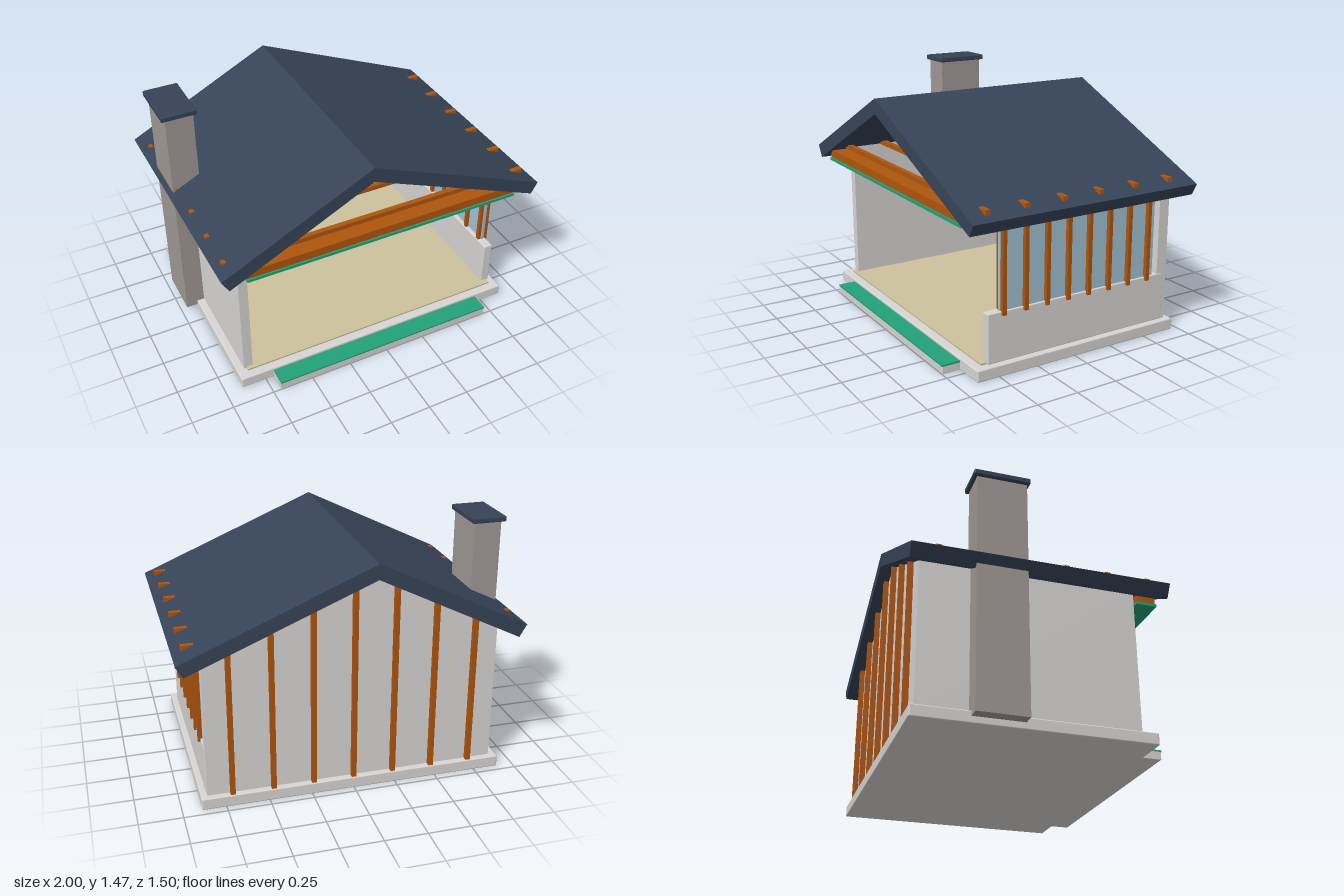
import * as THREE from 'three';
import { RoundedBoxGeometry } from 'three/addons/geometries/RoundedBoxGeometry.js';

function mat(name, color) {
  const m = new THREE.MeshStandardMaterial({ color });
  m.name = name;
  return m;
}

export function createModel() {
  const house = new THREE.Group();
  house.name = 'gableHouse';
  const plaster = mat('plaster', 0xd8d6d4);
  const slate = mat('slate', 0x364357);
  const timber = mat('timber', 0xb0560e);
  const green = mat('green', 0x22a278);
  const sand = mat('sandFloor', 0xcdc29c);
  const glass = mat('glass', 0xa0c1d3);
  const stone = mat('stone', 0xa09995);

  const add = (name, geometry, material) => {
    const mesh = new THREE.Mesh(geometry, material);
    mesh.name = name;
    house.add(mesh);
    return mesh;
  };
  // Box given by its limits on each axis, optionally with softened edges
  const box = (name, material, x0, x1, y0, y1, z0, z1, radius = 0) => {
    const size = [x1 - x0, y1 - y0, z1 - z0];
    const geometry = radius ? new RoundedBoxGeometry(...size, 2, radius) : new THREE.BoxGeometry(...size);
    add(name, geometry, material).position.set((x0 + x1) / 2, (y0 + y1) / 2, (z0 + z1) / 2);
  };
  // Outline in x and y, extruded from z0 to z1
  const prism = (name, material, points, z0, z1) => {
    const shape = new THREE.Shape(points.map(([x, y]) => new THREE.Vector2(x, y)));
    const geometry = new THREE.ExtrudeGeometry(shape, { depth: z1 - z0, bevelEnabled: false });
    geometry.translate(0, 0, z0);
    add(name, geometry, material);
  };

  // Height of the roof's underside at x
  const ridgeX = -0.11;
  const underside = (x) => 1.29 - (x < ridgeX ? (ridgeX - x) * 0.506 : (x - ridgeX) * 0.412);

  // Base slab, floor and front step
  box('foundation', plaster, -0.9, 0.89, 0, 0.07, -0.71, 0.64, 0.008);
  box('floor', sand, -0.84, 0.84, 0.07, 0.08, -0.62, 0.59);
  box('step', plaster, -0.7, 0.7, 0, 0.045, 0.63, 0.745);
  box('stepTread', green, -0.7, 0.7, 0.045, 0.055, 0.64, 0.75);

  // Walls
  prism('rightSideWall', plaster,
    [[-0.855, 0.07], [-0.8, 0.07], [-0.8, underside(-0.8) + 0.01], [-0.855, underside(-0.855) + 0.01]], -0.65, 0.565);
  prism('backGableWall', plaster,
    [[-0.853, 0.07], [0.853, 0.07], [0.853, underside(0.853) + 0.01], [ridgeX, 1.3], [-0.853, underside(-0.853) + 0.01]],
    -0.675, -0.607);
  box('lowSideWall', plaster, 0.8, 0.856, 0.07, 0.36, -0.65, 0.555, 0.005);

  // Glazing with a row of timber posts
  box('sideGlazing', glass, 0.825, 0.845, 0.36, 0.89, -0.575, 0.475);
  for (let i = 0; i < 8; i++) {
    const z = 0.458 - i * 0.14;
    box('sidePost', timber, 0.805, 0.87, 0.34, 0.9, z - 0.012, z + 0.012);
  }

  // Timber posts on the back gable, cut to the roof slope
  for (let i = 0; i < 7; i++) {
    const x = -0.71 + i * 0.2367;
    const a = x - 0.014, b = x + 0.014;
    prism('backPost', timber, [[a, 0.07], [b, 0.07], [b, underside(b) + 0.01], [a, underside(a) + 0.01]], -0.705, -0.67);
  }

  // Ceiling joists whose ends break through the roof
  for (let i = 0; i < 6; i++) {
    const z = 0.61 - i * 0.24;
    box('joist', timber, -0.955, 0.945, 0.942, 0.97, z - 0.015, z + 0.015);
  }

  // Front beam with green strip below
  box('frontBeam', timber, -0.85, 0.845, 0.88, 0.93, 0.59, 0.7);
  box('beamStrip', green, -0.85, 0.845, 0.863, 0.88, 0.585, 0.71);

  // Roof, bent at the ridge
  prism('roof', slate,
    [[-1, 0.935], [-0.957, 0.861], [ridgeX, 1.29], [0.957, 0.85], [0.995, 0.92], [ridgeX, 1.38]], -0.75, 0.725);

  // Chimney
  box('chimney', stone, -0.97, -0.805, 0.04, 1.44, -0.39, -0.1);
  box('chimneyCap', slate, -0.993, -0.787, 1.44, 1.472, -0.41, -0.085, 0.006);

  return house;
}
